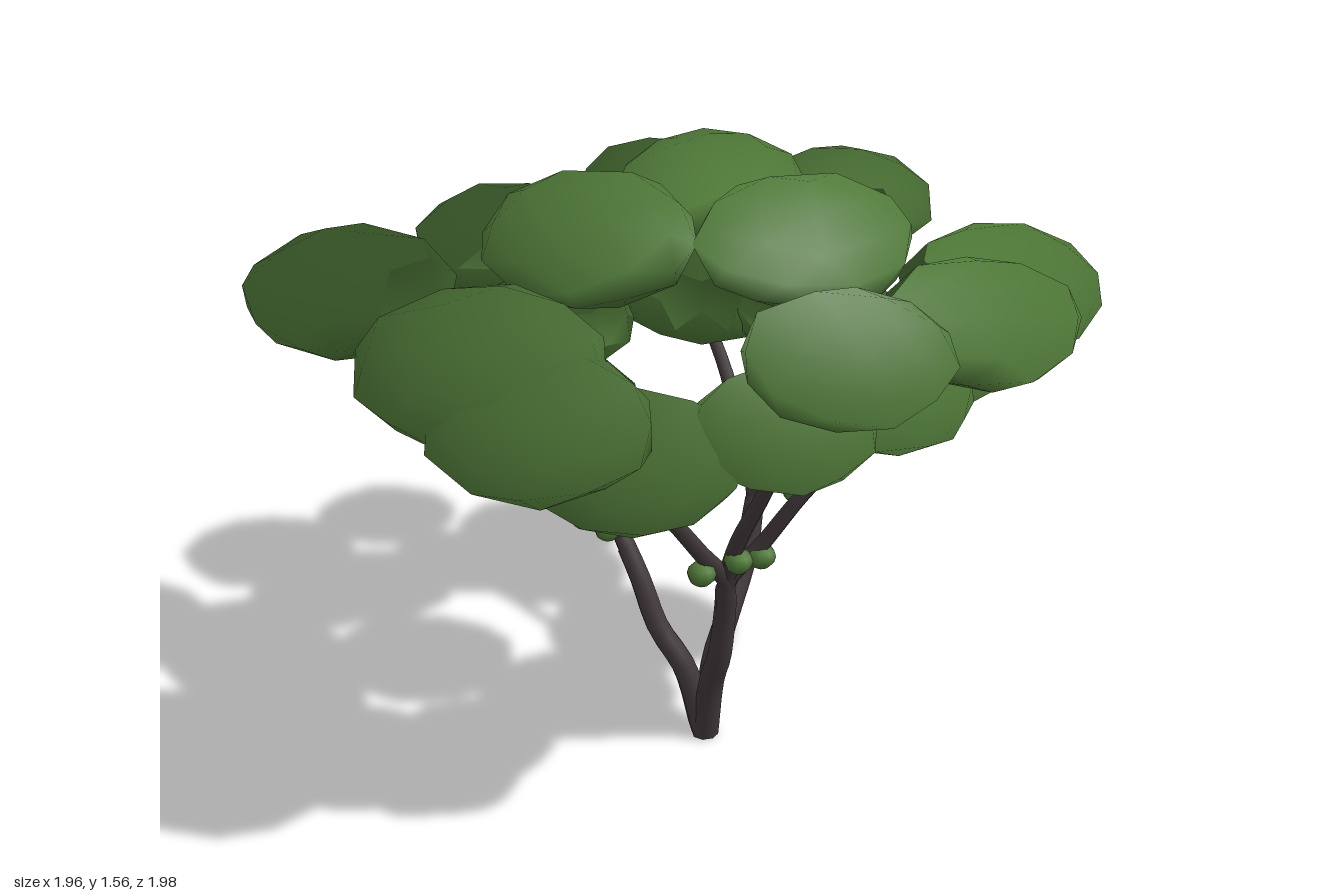
import * as THREE from 'three';

const leafGreen = new THREE.MeshStandardMaterial({ color: 0x4f7838 });
leafGreen.name = 'leaf green';
const barkBrown = new THREE.MeshStandardMaterial({ color: 0x41383a });
barkBrown.name = 'bark brown';

// Leaf clumps: x, y, z of the centre, then the horizontal radius
const CLUMPS = [
  // crown
  [0.165, 1.41, -0.15, 0.24], [-0.31, 1.41, 0.02, 0.25], [0.065, 1.41, 0.33, 0.25],
  // outer ring
  [-0.63, 1.19, -0.58, 0.26], [-0.07, 1.18, -0.74, 0.25], [0.39, 1.27, -0.68, 0.22],
  [0.74, 1.25, -0.29, 0.25], [0.62, 1.21, 0.43, 0.25], [0.29, 1.26, 0.67, 0.23],
  [-0.21, 1.32, 0.78, 0.22], [-0.7, 1.17, 0.4, 0.24], [-0.72, 1.25, 0.21, 0.27],
  // lower ring
  [0.5, 1.04, 0.3, 0.23], [0.53, 1.04, -0.18, 0.23], [0.34, 1.04, -0.41, 0.22],
  [-0.11, 1.03, -0.48, 0.22], [-0.45, 1.03, -0.39, 0.23], [-0.5, 1.06, 0.08, 0.23],
  [-0.45, 1.01, 0.37, 0.24], [-0.17, 1.08, 0.55, 0.21], [0.16, 1.07, 0.5, 0.22],
];

// Small round buds at the forks
const BUDS = [
  [0.28, 0.63, 0.075], [0.27, 0.63, -0.06], [0.21, 0.63, -0.12],
  [-0.03, 0.63, 0.31], [-0.19, 0.62, 0.28], [-0.11, 0.645, 0.32],
  [-0.18, 0.63, -0.19], [-0.25, 0.63, -0.13], [-0.24, 0.63, -0.04],
];

// Stems rise from one root; each splits into thinner branches
const ROOT = [-0.02, 0, 0.075];
const STEMS = [
  { path: [[0.03, 0.2, 0.05], [0.09, 0.3, 0.03], [0.18, 0.45, 0], [0.22, 0.6, -0.02]],
    branches: [
      [[0.25, 0.72, 0.05], [0.3, 0.86, 0.16], [0.4, 0.98, 0.25]],
      [[0.3, 0.74, -0.06], [0.4, 0.88, -0.11], [0.5, 0.98, -0.16]],
      [[0.24, 0.72, -0.1], [0.28, 0.87, -0.22], [0.31, 1.0, -0.36]],
    ] },
  { path: [[-0.04, 0.2, 0.13], [-0.055, 0.3, 0.18], [-0.07, 0.45, 0.22], [-0.09, 0.55, 0.25]],
    branches: [
      [[-0.2, 0.68, 0.29], [-0.3, 0.8, 0.32], [-0.43, 0.95, 0.35]],
      [[-0.12, 0.7, 0.33], [-0.13, 0.86, 0.43], [-0.15, 1.02, 0.53]],
      [[-0.03, 0.66, 0.31], [0.03, 0.82, 0.4], [0.12, 0.94, 0.47]],
    ] },
  { path: [[-0.06, 0.2, 0.04], [-0.11, 0.32, -0.01], [-0.135, 0.45, -0.05], [-0.16, 0.57, -0.1]],
    branches: [
      [[-0.25, 0.7, -0.1], [-0.36, 0.83, -0.05], [-0.46, 0.98, 0.03]],
      [[-0.23, 0.68, -0.16], [-0.31, 0.82, -0.25], [-0.42, 0.97, -0.36]],
      [[-0.16, 0.68, -0.18], [-0.14, 0.85, -0.32], [-0.12, 1.0, -0.45]],
    ] },
];

// Squashed, slightly uneven ball whose normals follow the canopy, so that clumps shade as one crown
function clumpGeometry([x, y, z, r], turn) {
  const geo = new THREE.IcosahedronGeometry(1, 1);
  geo.rotateX(0.4 * turn).rotateY(1.3 * turn);
  const pos = geo.attributes.position, nor = geo.attributes.normal;
  const own = new THREE.Vector3(), out = new THREE.Vector3();
  for (let i = 0; i < pos.count; i++) {
    own.fromBufferAttribute(pos, i).normalize();
    const s = r * (1.01 + 0.035 * Math.sin(5 * own.x + 7 * own.z + 4 * own.y + 2.1 * turn));
    pos.setXYZ(i, own.x * s, own.y * s * 0.6, own.z * s);
    out.set(x + pos.getX(i), y + pos.getY(i) - 1.03, z + pos.getZ(i)).normalize();
    own.y /= 0.6;
    own.normalize();
    // undersides that face inwards keep their own normals
    if (own.y > -0.3 || own.dot(out) > 0.25) own.multiplyScalar(0.2).add(out).normalize();
    nor.setXYZ(i, own.x, own.y, own.z);
  }
  return geo;
}

// Tube that narrows from r0 to r1, with a closed tip
function taperedTube(points, r0, r1) {
  const rings = 14, sides = 8;
  const curve = new THREE.CatmullRomCurve3(points.map((p) => new THREE.Vector3(...p)));
  const geo = new THREE.TubeGeometry(curve, rings, 1, sides);
  const pos = geo.attributes.position, v = new THREE.Vector3();
  for (let i = 0; i <= rings; i++) {
    const t = i / rings, centre = curve.getPointAt(t);
    const r = i === rings ? 0.001 : THREE.MathUtils.lerp(r0, r1, t);
    for (let j = 0; j <= sides; j++) {
      const k = i * (sides + 1) + j;
      v.fromBufferAttribute(pos, k).sub(centre).multiplyScalar(r).add(centre);
      pos.setXYZ(k, v.x, Math.max(v.y, 0), v.z);
    }
  }
  return geo;
}

function addMesh(parent, name, geometry, material) {
  const mesh = new THREE.Mesh(geometry, material);
  mesh.name = name;
  parent.add(mesh);
  return mesh;
}

function addGroup(parent, name) {
  const group = new THREE.Group();
  group.name = name;
  parent.add(group);
  return group;
}

export function createModel() {
  const tree = new THREE.Group();
  tree.name = 'tree';

  // Stems and branches
  const wood = addGroup(tree, 'wood');
  for (const { path, branches } of STEMS) {
    addMesh(wood, 'stem', taperedTube([ROOT, ...path], 0.036, 0.026), barkBrown);
    const fork = path.slice(-2);
    for (const branch of branches) {
      addMesh(wood, 'branch', taperedTube([...fork, ...branch], 0.024, 0.016), barkBrown);
    }
  }

  // Canopy
  const canopy = addGroup(tree, 'canopy');
  CLUMPS.forEach((c, i) => {
    addMesh(canopy, 'leafClump', clumpGeometry(c, i), leafGreen).position.set(c[0], c[1], c[2]);
  });

  // Buds
  const buds = addGroup(tree, 'buds');
  const budGeometry = new THREE.SphereGeometry(0.036, 8, 6).scale(1, 0.9, 1);
  for (const p of BUDS) addMesh(buds, 'bud', budGeometry, leafGreen).position.set(...p);

  return tree;
}
